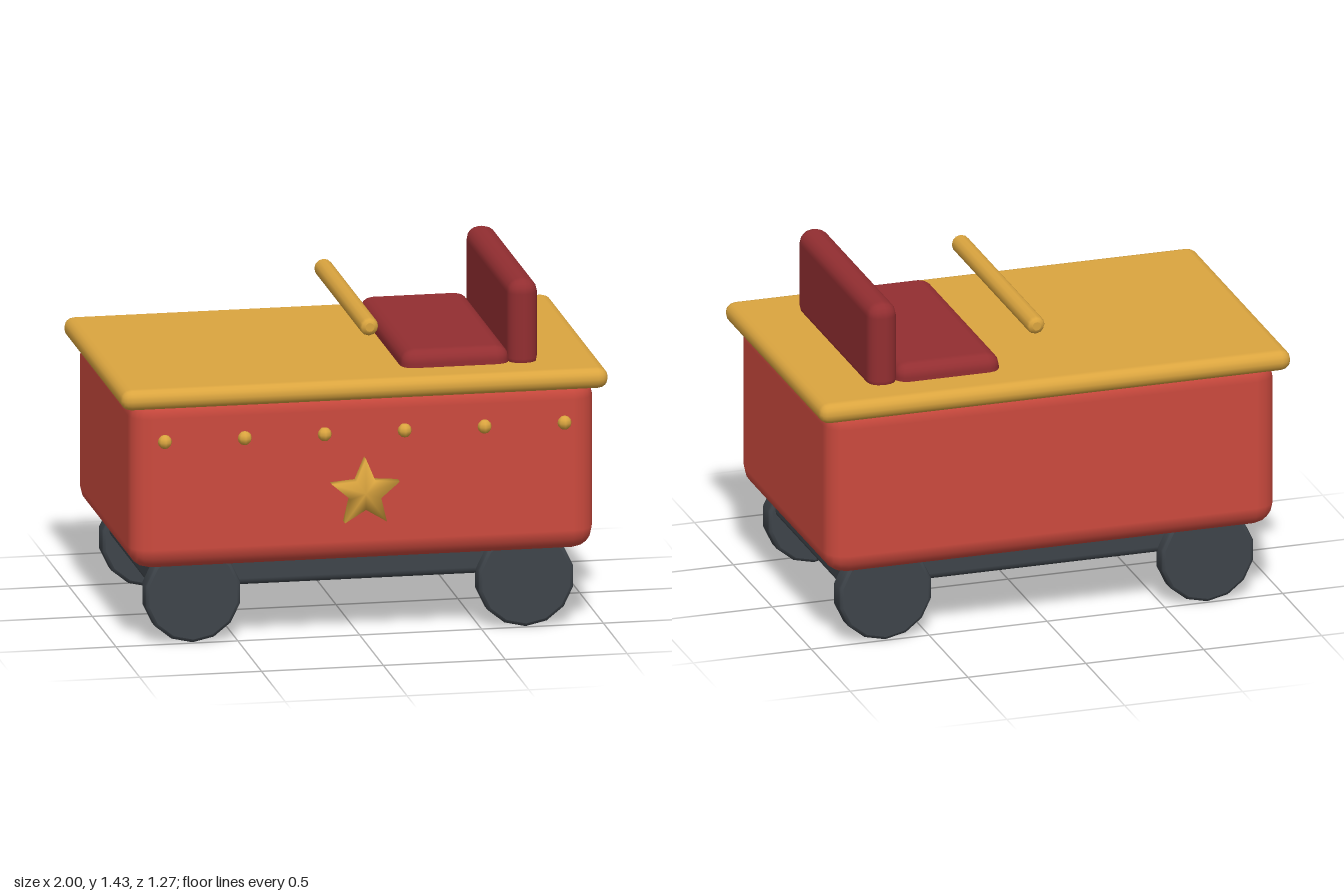
import * as THREE from 'three';
import { mergeVertices } from 'three/addons/utils/BufferGeometryUtils.js';
import { RoundedBoxGeometry } from 'three/addons/geometries/RoundedBoxGeometry.js';

const paint = (name, color) => {
  const m = new THREE.MeshStandardMaterial({ color });
  m.name = name;
  return m;
};

// Closed disc or rod along z with a bevelled rim; caps stay flat
function bevelledRod(radius, length, bevel, sides) {
  const h = length / 2;
  const p = (x, y) => new THREE.Vector2(x, y);
  const inner = radius - bevel;
  const mid = radius - bevel * 0.3;
  const geo = new THREE.LatheGeometry([
    p(0, -h), p(inner, -h), p(inner, -h), p(mid, -h + bevel * 0.3), p(radius, -h + bevel),
    p(radius, h - bevel), p(mid, h - bevel * 0.3), p(inner, h), p(inner, h), p(0, h),
  ], sides);
  return geo.rotateX(-Math.PI / 2);
}

// Five-pointed star: a ten-sided prism with alternating radii and soft normals
function starGeometry(outer, inner, depth) {
  const geo = new THREE.CylinderGeometry(1, 1, depth, 10);
  const pos = geo.attributes.position;
  for (let i = 0; i < pos.count; i++) {
    const x = pos.getX(i), z = pos.getZ(i);
    if (Math.hypot(x, z) < 0.5) continue;
    const step = Math.round(Math.atan2(x, z) / (Math.PI / 5));
    const r = step % 2 === 0 ? outer : inner;
    pos.setX(i, x * r);
    pos.setZ(i, z * r);
  }
  geo.deleteAttribute('uv');
  geo.deleteAttribute('normal');
  const soft = mergeVertices(geo);
  soft.computeVertexNormals();
  return soft.rotateX(-Math.PI / 2);
}

export function createModel() {
  const group = new THREE.Group();
  group.name = 'rideCart';
  const red = paint('red', 0xcc4a3e);
  const gold = paint('gold', 0xdba53f);
  const maroon = paint('maroon', 0x932e31);
  const iron = paint('iron', 0x3e444a);

  const add = (name, geo, mat, x, y, z) => {
    const mesh = new THREE.Mesh(geo, mat);
    mesh.name = name;
    mesh.position.set(x, y, z);
    group.add(mesh);
  };
  // Rounded box given by its lower and upper limits; symmetric in z
  const box = (name, mat, x0, x1, y0, y1, depth, r) =>
    add(name, new RoundedBoxGeometry(x1 - x0, y1 - y0, depth, 2, r), mat, (x0 + x1) / 2, (y0 + y1) / 2, 0);

  // Body, deck and undercarriage
  box('chassis', iron, -0.85, 0.85, 0.215, 0.4, 0.9, 0.03);
  box('body', red, -0.953, 0.953, 0.325, 1.05, 1.18, 0.09);
  box('deck', gold, -1, 1, 1.005, 1.092, 1.27, 0.043);

  // Bench
  box('seat', maroon, 0.18, 0.625, 1.04, 1.162, 0.95, 0.055);
  box('backrest', maroon, 0.617, 0.742, 1.05, 1.435, 0.96, 0.058);

  // Lap bar
  add('lapBar', bevelledRod(0.038, 1, 0.02, 12), gold, 0.042, 1.277, 0);

  // Wheels
  const wheel = bevelledRod(0.2, 0.09, 0.015, 14);
  for (const x of [-0.683, 0.683])
    for (const z of [-0.457, 0.457]) add('wheel', wheel, iron, x, 0.2, z);

  // Front studs and star
  const stud = new THREE.SphereGeometry(0.029, 8, 6);
  for (let i = 0; i < 6; i++) add('stud', stud, gold, -0.82 + i * 0.328, 0.87, 0.606);
  add('star', starGeometry(0.146, 0.066, 0.06), gold, 0, 0.62, 0.604);

  return group;
}
